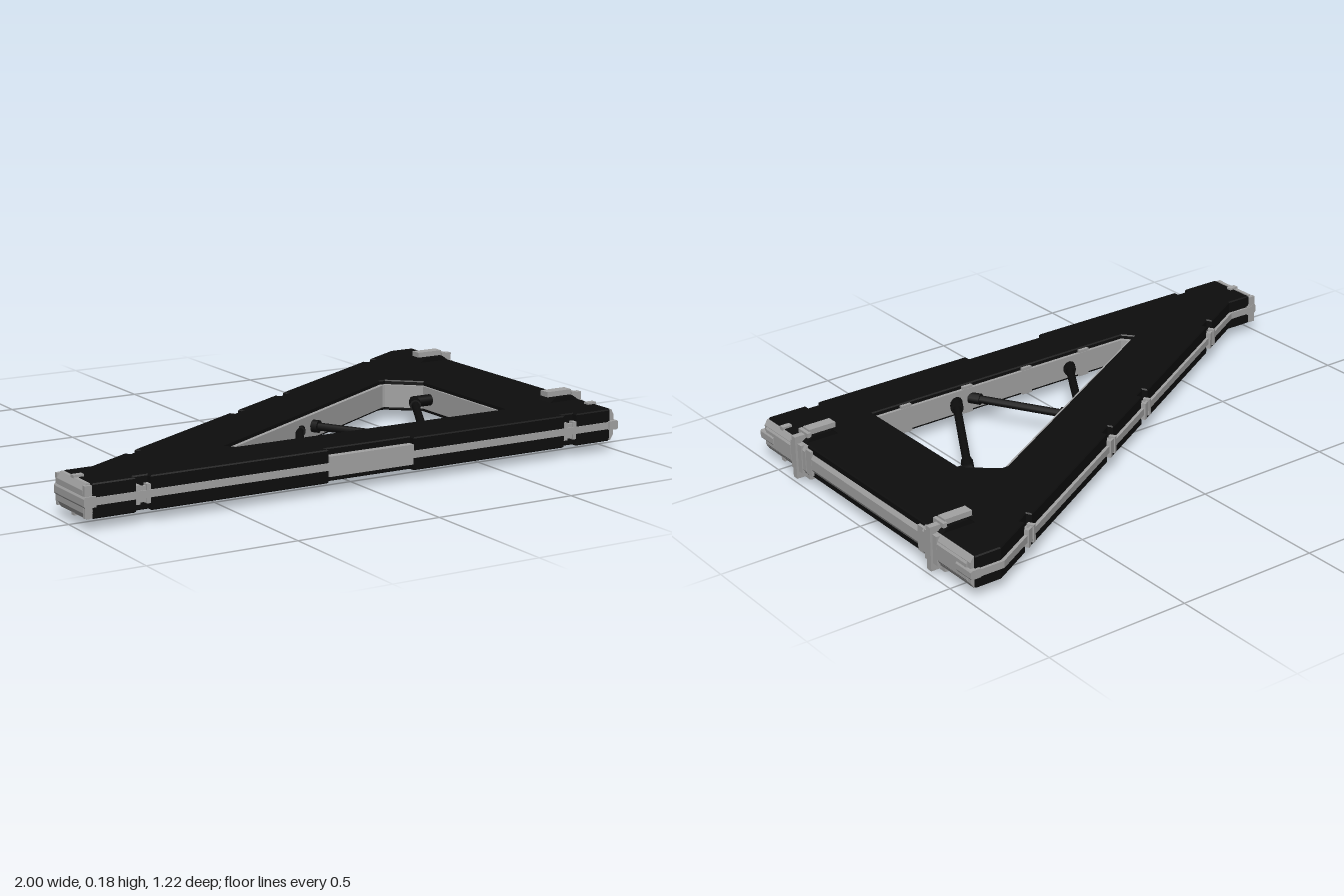
import * as THREE from 'three';

const black = new THREE.MeshStandardMaterial({ color: 0x0d0d0d });
black.name = 'black shell';
const grey = new THREE.MeshStandardMaterial({ color: 0xa2a2a2 });
grey.name = 'grey trim';
const MID = 0.09; // height of the middle plane

// Points are [x, z] in plan
const loop = pts => pts.map(([x, z]) => new THREE.Vector2(x, -z));

export function createModel() {
  const group = new THREE.Group();
  const add = (name, geo, mat, parent = group) => {
    const m = new THREE.Mesh(geo, mat);
    m.name = name;
    parent.add(m);
    return m;
  };
  const box = (name, mat, w, h, d, x, y, z, parent) => {
    const m = add(name, new THREE.BoxGeometry(w, h, d), mat, parent);
    m.position.set(x, y, z);
    return m;
  };
  // Flat plate from a plan outline, between two heights
  const plate = (name, mat, outline, hole, y0, y1, bevel = 0) => {
    const s = new THREE.Shape(loop(outline));
    s.holes.push(new THREE.Path(loop(hole)));
    const g = new THREE.ExtrudeGeometry(s, {
      depth: y1 - y0 - 2 * bevel, bevelEnabled: bevel > 0, bevelSize: bevel,
      bevelThickness: bevel, bevelOffset: -bevel, bevelSegments: 1
    });
    g.rotateX(-Math.PI / 2).translate(0, y0 + bevel, 0);
    return add(name, g, mat);
  };
  // Profile in x/y run along z
  const run = (name, mat, profile, z0, z1) => {
    const s = new THREE.Shape(profile.map(p => new THREE.Vector2(...p)));
    const g = new THREE.ExtrudeGeometry(s, { depth: z1 - z0, bevelEnabled: false });
    return add(name, g.translate(0, 0, z0), mat);
  };
  // Block with chamfered outer corners, outer side at x1
  const cap = (x0, x1, h, c) => {
    const k = Math.sign(x1 - x0) * c * 0.6;
    const p = [[x0, MID - h], [x1 - k, MID - h], [x1, MID - h + c],
      [x1, MID + h - c], [x1 - k, MID + h], [x0, MID + h]];
    return x1 > x0 ? p : p.reverse();
  };
  // Edge a-b with rectangular notches [distance along edge, width, depth]
  const notched = (a, b, notches) => {
    const A = new THREE.Vector2(...a), d = new THREE.Vector2(...b).sub(A).normalize();
    const n = new THREE.Vector2(d.y, -d.x); // inward for this winding
    const at = (t, k) => [A.x + d.x * t + n.x * k, A.y + d.y * t + n.y * k];
    return [a, ...notches.flatMap(([t, w, k]) =>
      [at(t - w / 2, 0), at(t - w / 2, k), at(t + w / 2, k), at(t + w / 2, 0)]), b];
  };

  // Black body with clip notches along the front and the sloping edge
  const slopeA = [0.88, -0.6], slopeB = [-0.875, 0.408];
  const slopeT = [0.2, 0.86, 1.17, 1.81];
  const hole = [[-0.405, 0.382], [-0.375, 0.418], [0.677, 0.418], [0.677, -0.085], [0.575, -0.175], [0.55, -0.175]];
  const body = [
    ...notched([-0.97, 0.602], [0.965, 0.602], [[0.17, 0.05, 0.02], [0.983, 0.32, 0.022], [1.77, 0.05, 0.02]]),
    [0.975, 0.59], [0.975, -0.6],
    ...notched(slopeA, slopeB, slopeT.map(t => [t, 0.055, 0.02])),
    [-0.97, 0.408]
  ];
  plate('bodyShell', black, body, hole, 0.036, 0.145, 0.004);

  // Grey core showing as a thin seam around the outside
  plate('coreSeam', grey, [[-0.98, 0.605], [0.98, 0.605], [0.98, -0.61], [0.876, -0.611], [-0.881, 0.4], [-0.98, 0.4]],
    hole, 0.078, 0.102);

  // Grey lining of the triangular opening
  const inner = [[-0.382, 0.385], [-0.365, 0.406], [0.669, 0.406], [0.669, -0.075], [0.565, -0.16], [0.555, -0.16]];
  plate('openingLining', grey, hole.map(([x, z]) => [x * 1.003, z * 1.003]), inner, 0.05, 0.13);
  for (let i = 0; i < 4; i++) {
    box('liningLug', grey, 0.04, 0.1, 0.012, -0.2 + i * 0.25, MID, 0.413);
  }

  // Long front insert
  box('frontInsert', grey, 0.318, 0.066, 0.03, 0.013, MID, 0.59);

  // Small paired clips seated in the notches
  const clip = (x, z, angle) => {
    const c = new THREE.Group();
    c.name = 'edgeClip';
    for (const s of [-1, 1]) box('clipJaw', grey, 0.014, 0.06, 0.024, s * 0.018, 0, 0, c);
    box('clipBridge', grey, 0.05, 0.05, 0.008, 0, 0, 0.004, c);
    c.position.set(x, MID, z);
    c.rotation.y = angle;
    group.add(c);
  };
  for (const x of [-0.8, 0.8]) clip(x, 0.592, 0);
  const A = new THREE.Vector2(...slopeA), dir = new THREE.Vector2(...slopeB).sub(A).normalize();
  for (const t of slopeT) {
    clip(A.x + dir.x * t - dir.y * -0.008, A.y + dir.y * t - dir.x * -0.008,
      Math.PI + Math.atan2(-dir.y, -dir.x) * -1);
  }

  // Tip cap on the narrow end
  run('tipCap', grey, cap(-0.972, -0.996, 0.055, 0.02), 0.415, 0.592);
  run('tipCapCore', grey, cap(-0.96, -1, 0.017, 0.006), 0.402, 0.608);
  for (const x of [-0.968, 0.962]) {
    box('lug', grey, 0.035, 0.124, 0.02, x, MID, 0.5);
  }
  for (const z of [0.41, 0.595]) box('tipLip', grey, 0.026, 0.1, 0.014, -0.982, MID, z);

  // Mounting rail on the tall end
  run('mountingRail', grey, cap(0.965, 0.984, 0.036, 0.018), -0.34, 0.34);
  for (const s of [-1, 1]) {
    const [z0, z1] = s > 0 ? [0.34, 0.595] : [-0.595, -0.34];
    run('railEndBlock', grey, cap(0.965, 0.988, 0.053, 0.018), z0, z1);
    const [w0, w1] = s > 0 ? [0.425, 0.58] : [-0.58, -0.425];
    run('railPanel', grey, cap(0.98, 0.993, 0.033, 0.006), w0, w1);
    const [t0, t1] = s > 0 ? [0.53, 0.61] : [-0.61, -0.53];
    run('railTongue', grey, cap(0.96, 0.997, 0.015, 0.005), t0, t1);
    box('railShoulder', grey, 0.02, 0.088, 0.03, 0.975, MID, s * 0.325);

    // Mounting clamp: dark collar, band and flat pads above and below
    const z = s * 0.39;
    const collar = [[0.85, 0.035], [0.875, 0.018], [0.945, 0.018], [0.97, 0.035],
      [0.97, 0.145], [0.945, 0.162], [0.875, 0.162], [0.85, 0.145]];
    run('clampCollar', black, collar, z - 0.034, z + 0.034);
    box('clampBand', grey, 0.045, 0.15, 0.022, 0.9775, MID, z);
    box('clampFoot', grey, 0.02, 0.1, 0.066, 0.982, MID, z);
    for (const v of [-1, 1]) {
      box('clampPad', grey, 0.1, 0.018, 0.038, 0.9, MID + v * 0.081, z);
      box('clampHook', grey, 0.014, 0.016, 0.056, 0.955, MID + v * 0.075, z);
    }
  }

  // Bracing struts across the opening
  const up = new THREE.Vector3(0, 1, 0);
  const rod = (name, a, b, r) => {
    const p = new THREE.Vector3(a[0], MID, a[1]), q = new THREE.Vector3(b[0], MID, b[1]);
    const d = q.clone().sub(p);
    const m = add(name, new THREE.CylinderGeometry(r, r, d.length(), 10), black);
    m.position.copy(p).addScaledVector(d, 0.5);
    m.quaternion.setFromUnitVectors(up, d.normalize());
  };
  const struts = [[[-0.138, 0.415], [0.04, 0.12]], [[0.095, 0.085], [0.288, 0.415]], [[0.345, 0.415], [0.603, -0.03]]];
  for (const [a, b] of struts) {
    rod('strut', a, b, 0.014);
    const mix = t => [a[0] + (b[0] - a[0]) * t, a[1] + (b[1] - a[1]) * t];
    rod('strutSocket', a, mix(0.11), 0.022);
    rod('strutSocket', mix(0.89), b, 0.02);
  }
  rod('strutElbow', [0.595, -0.03], [0.68, -0.03], 0.02);

  return group;
}
